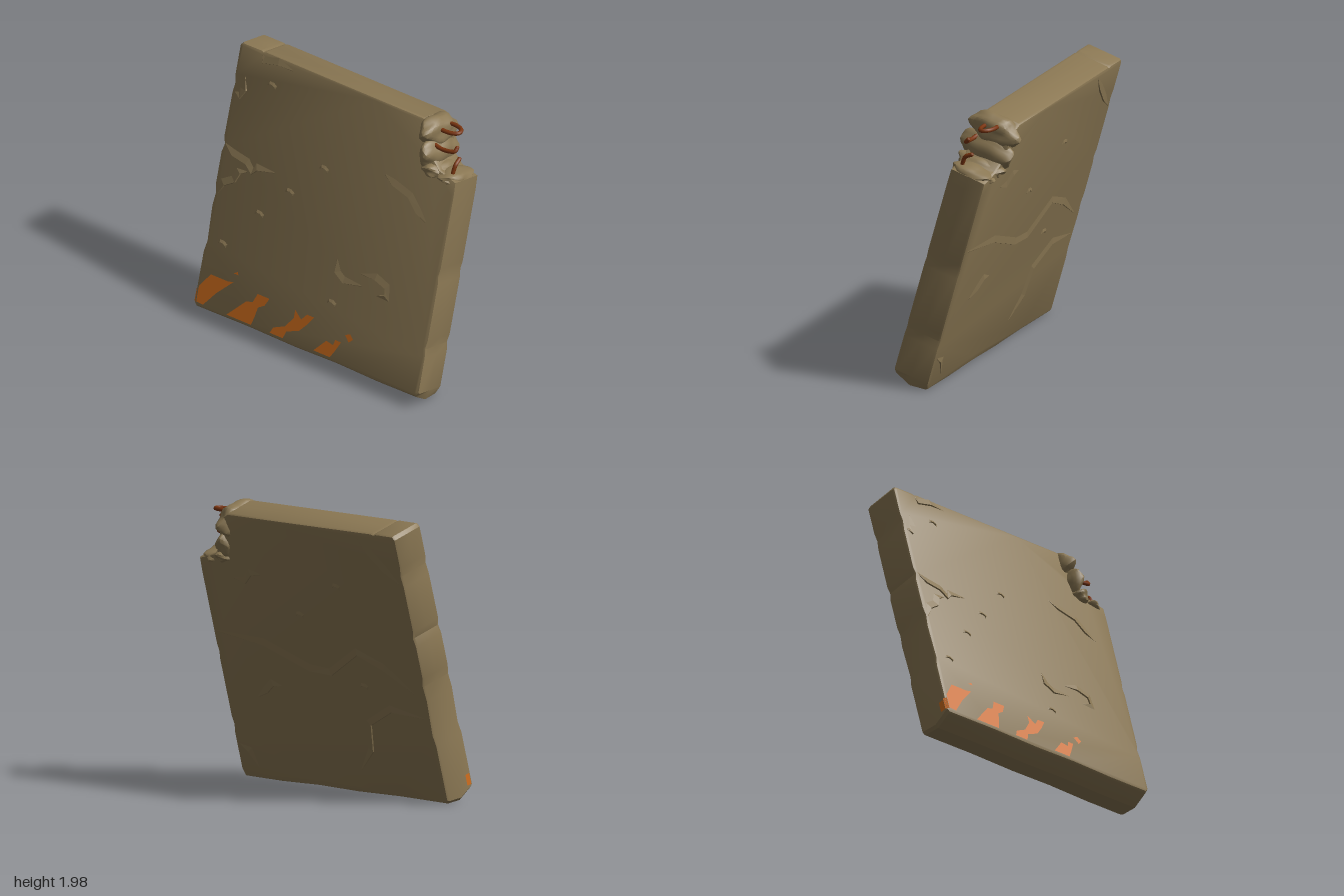
import * as THREE from 'three';
import { toCreasedNormals } from 'three/addons/utils/BufferGeometryUtils.js';

const concrete = new THREE.MeshStandardMaterial({ color: 0x8a7753 });
concrete.name = 'concrete';
const orange = new THREE.MeshStandardMaterial({ color: 0xd4701f });
orange.name = 'orange paint';
const rust = new THREE.MeshStandardMaterial({ color: 0x7a3510 });
rust.name = 'rusty steel';

const TILT = 0.279, THICK = 0.274;
const faceV = (y) => (y - 0.1) / Math.cos(TILT); // world height -> height on the leaning face

function add(parent, name, geometry, material) {
  const mesh = new THREE.Mesh(geometry, material);
  mesh.name = name;
  parent.add(mesh);
  return mesh;
}

const toShape = (pts) => new THREE.Shape(pts.map(([x, y]) => new THREE.Vector2(x, y)));

// Slab: chipped outline, bevelled, with a bottom edge worn to a blunt wedge
function slabGeometry() {
  const outline = [
    [-0.94, 0], [-0.5, 0.006], [-0.1, 0], [0.25, 0.008], [0.6, 0], [0.93, 0.004],
    [0.955, 0.03], [0.955, 0.3], [0.945, 0.36], [0.955, 0.42], [0.955, 0.85], [0.947, 0.9], [0.955, 0.96],
    [0.955, 1.5], [0.95, 1.6], [0.8, 1.64], [0.72, 1.72], [0.7, 1.9], [0.6, 1.957],
    [0.2, 1.957], [-0.74, 1.957], [-0.76, 1.95], [-0.78, 1.957], [-0.94, 1.955], [-0.96, 1.93],
    [-0.96, 1.72], [-0.948, 1.66], [-0.958, 1.58], [-0.96, 1.25], [-0.945, 1.2], [-0.96, 1.14],
    [-0.96, 0.9], [-0.946, 0.84], [-0.957, 0.74], [-0.945, 0.48], [-0.96, 0.4], [-0.96, 0.02],
  ];
  const geo = new THREE.ExtrudeGeometry(toShape(outline), {
    depth: THICK - 0.04, steps: 2, bevelThickness: 0.02, bevelSize: 0.02, bevelOffset: -0.02, bevelSegments: 2,
  });
  geo.translate(0, 0, 0.02 - THICK);
  const p = geo.attributes.position, half = THICK / 2;
  for (let i = 0; i < p.count; i++) {
    if (p.getY(i) > 0.028) continue;
    const d = -p.getZ(i);
    p.setY(i, p.getY(i) + (d < half ? -0.05 * d / half : -0.05 + 0.024 * (d - half) / half));
  }
  return toCreasedNormals(geo, 0.5);
}

// Ragged lump: a sphere roughened by a few overlapping waves
function lumpGeometry(radii, seed) {
  const geo = new THREE.IcosahedronGeometry(1, 4);
  const p = geo.attributes.position, v = new THREE.Vector3();
  for (let i = 0; i < p.count; i++) {
    v.fromBufferAttribute(p, i);
    const n = Math.sin(v.x * 4.1 + seed) * Math.sin(v.y * 5.3 + seed * 2) + Math.sin(v.z * 6.7 + v.y * 3 + seed * 3) * 0.7;
    v.multiplyScalar(1 + 0.09 * n);
    p.setXYZ(i, v.x * radii[0], v.y * radii[1], v.z * radii[2]);
  }
  return toCreasedNormals(geo, 0.6);
}

// Crack: a lip that slopes up on one side and drops sharply on the other, tapering at both ends
function crackGeometry(pts, width = 0.05, height = 0.009) {
  const rows = pts.map(([x, y], i) => {
    const a = pts[Math.max(i - 1, 0)], b = pts[Math.min(i + 1, pts.length - 1)];
    const len = Math.hypot(b[0] - a[0], b[1] - a[1]);
    const nx = -(b[1] - a[1]) / len, ny = (b[0] - a[0]) / len;
    const t = i === 0 || i === pts.length - 1 ? 0.1 : 1;
    return [
      [x + nx * width * t, y + ny * width * t, 0],
      [x, y, height * t],
      [x - nx * 0.004, y - ny * 0.004, 0],
    ];
  });
  const out = [];
  for (let i = 0; i < rows.length - 1; i++) {
    for (let k = 0; k < 2; k++) {
      const a = rows[i][k + 1], b = rows[i + 1][k + 1], c = rows[i + 1][k], d = rows[i][k];
      out.push(...a, ...b, ...c, ...a, ...c, ...d);
    }
  }
  const geo = new THREE.BufferGeometry();
  geo.setAttribute('position', new THREE.Float32BufferAttribute(out, 3));
  geo.computeVertexNormals();
  return geo;
}

// Small curved chip in the face
const chip = ([x, y]) => [0, 1, 2, 3, 4].map((i) => {
  const a = 2.7 - i * 0.75;
  return [x + 0.035 * Math.cos(a), y + 0.022 * Math.sin(a)];
});

export function createModel() {
  const model = new THREE.Group();
  model.name = 'brokenConcreteSlab';

  const leaning = new THREE.Group();
  leaning.name = 'leaningSlab';
  leaning.position.set(0, 0.1, 0.41);
  leaning.rotation.x = -TILT;
  model.add(leaning);
  add(leaning, 'slab', slabGeometry(), concrete);

  // Crumbled corner
  [
    [[0.655, 1.865, -0.125], [0.085, 0.115, 0.185]],
    [[0.69, 1.72, -0.12], [0.075, 0.12, 0.2]],
    [[0.73, 1.62, -0.125], [0.1, 0.06, 0.185]],
    [[0.85, 1.6, -0.13], [0.1, 0.05, 0.165]],
  ].forEach(([pos, radii], i) => {
    add(leaning, 'crumbledCorner' + (i + 1), lumpGeometry(radii, i * 1.7 + 0.6), concrete).position.set(...pos);
  });

  // Cracks and chips on the front face
  const frontCracks = [
    [[-0.93, 1.26], [-0.86, 1.2], [-0.74, 1.18], [-0.68, 1.13], [-0.64, 1.17], [-0.5, 1.2]],
    [[-0.93, 0.9], [-0.88, 0.98], [-0.8, 1.03], [-0.77, 1.1], [-0.72, 1.13]],
    [[0.38, 1.5], [0.45, 1.45], [0.6, 1.41], [0.68, 1.33], [0.77, 1.29]],
    [[0.33, 0.77], [0.45, 0.77], [0.54, 0.74], [0.55, 0.69], [0.48, 0.67]],
    [[0.12, 0.8], [0.12, 0.71], [0.2, 0.66], [0.35, 0.69]],
    [[-0.93, 1.63], [-0.88, 1.6], [-0.84, 1.67], [-0.87, 1.76]],
    [[-0.76, 1.95], [-0.75, 1.9], [-0.62, 1.93], [-0.5, 1.93]],
  ];
  const frontChips = [[-0.65, 1.76], [-0.57, 0.87], [-0.82, 0.57], [-0.36, 1.1], [0.13, 0.48], [-0.12, 1.35]];
  frontCracks.forEach((c) =>
    add(leaning, 'frontCrack', crackGeometry(c.map(([x, y]) => [x, faceV(y)])), concrete));
  frontChips.forEach(([x, y]) =>
    add(leaning, 'frontChip', crackGeometry(chip([x, faceV(y)]), 0.02, 0.007), concrete));

  // Cracks and chips on the back face
  const back = new THREE.Group();
  back.name = 'backDetails';
  back.position.z = -THICK;
  back.rotation.y = Math.PI;
  leaning.add(back);
  [
    [[-0.93, 1.06], [-0.5, 1.0], [-0.1, 0.85], [0.1, 0.84], [0.38, 1.02], [0.6, 0.93], [0.85, 0.78]],
    [[0.6, 1.92], [0.68, 1.8], [0.8, 1.68], [0.92, 1.6]],
    [[-0.65, 1.48], [-0.55, 1.45], [-0.48, 1.52], [-0.4, 1.53]],
    [[-0.65, 0.6], [-0.55, 0.64], [-0.48, 0.7], [-0.4, 0.7]],
    [[-0.92, 0.22], [-0.85, 0.17], [-0.78, 0.06]],
    [[0.2, 0.15], [0.35, 0.3], [0.38, 0.5], [0.6, 0.62], [0.9, 0.6]],
  ].forEach((c) => add(back, 'backCrack', crackGeometry(c), concrete));
  [[0.38, 0.77], [0.3, 1.5], [-0.1, 1.25]].forEach((c) =>
    add(back, 'backChip', crackGeometry(chip(c), 0.02, 0.007), concrete));

  // Worn hazard stripes
  [
    [[-0.938, 0.13], [-0.88, 0.125], [-0.79, 0.24], [-0.67, 0.36], [-0.72, 0.35], [-0.86, 0.35], [-0.938, 0.24]],
    [[-0.68, 0.125], [-0.47, 0.125], [-0.45, 0.2], [-0.44, 0.26], [-0.39, 0.29], [-0.36, 0.35], [-0.46, 0.35], [-0.49, 0.28], [-0.54, 0.27]],
    [[-0.31, 0.125], [-0.2, 0.125], [-0.18, 0.18], [-0.08, 0.22], [-0.02, 0.29], [0.02, 0.35], [-0.04, 0.35], [-0.08, 0.3], [-0.14, 0.35], [-0.14, 0.29], [-0.2, 0.21], [-0.29, 0.17]],
    [[0.06, 0.13], [0.2, 0.13], [0.23, 0.18], [0.27, 0.26], [0.22, 0.26], [0.21, 0.22], [0.15, 0.23]],
    [[0.29, 0.32], [0.33, 0.34], [0.36, 0.31], [0.33, 0.28]],
    [[-0.68, 0.42], [-0.65, 0.44], [-0.64, 0.42]],
  ].forEach((pts) => {
    const shape = toShape(pts.map(([x, y]) => [x, faceV(y)]));
    add(leaning, 'hazardStripe', new THREE.ShapeGeometry(shape), orange).position.z = 0.003;
  });

  // First stripe wrapping round the right edge
  const edgePaint = add(leaning, 'stripeOnBevel', new THREE.PlaneGeometry(0.028, 0.09), orange);
  edgePaint.position.set(-0.954, 0.07, -0.006);
  edgePaint.rotation.y = -Math.PI / 4;
  const sidePaint = add(leaning, 'stripeOnSide', new THREE.PlaneGeometry(0.04, 0.08), orange);
  sidePaint.position.set(-0.963, 0.065, -0.04);
  sidePaint.rotation.y = -Math.PI / 2;

  // Bent reinforcing bars
  [
    [[0.66, 1.905, -0.27], [0.77, 1.91, -0.275], [0.83, 1.91, -0.255], [0.845, 1.908, -0.215], [0.8, 1.905, -0.185], [0.66, 1.905, -0.18]],
    [[0.66, 1.83, -0.12], [0.76, 1.81, -0.105], [0.84, 1.815, -0.105], [0.88, 1.825, -0.115], [0.885, 1.845, -0.135]],
    [[0.88, 1.63, -0.08], [0.885, 1.68, -0.095], [0.888, 1.72, -0.115], [0.885, 1.74, -0.16]],
  ].forEach((pts) => {
    const v = pts.map((q) => new THREE.Vector3(...q));
    add(model, 'bentBar', new THREE.TubeGeometry(new THREE.CatmullRomCurve3(v), 24, 0.015, 8), rust);
    // Rounded tips close the bar ends
    [v[0], v[v.length - 1]].forEach((end) =>
      add(model, 'barTip', new THREE.SphereGeometry(0.015, 8, 6), rust).position.copy(end));
  });

  return model;
}
